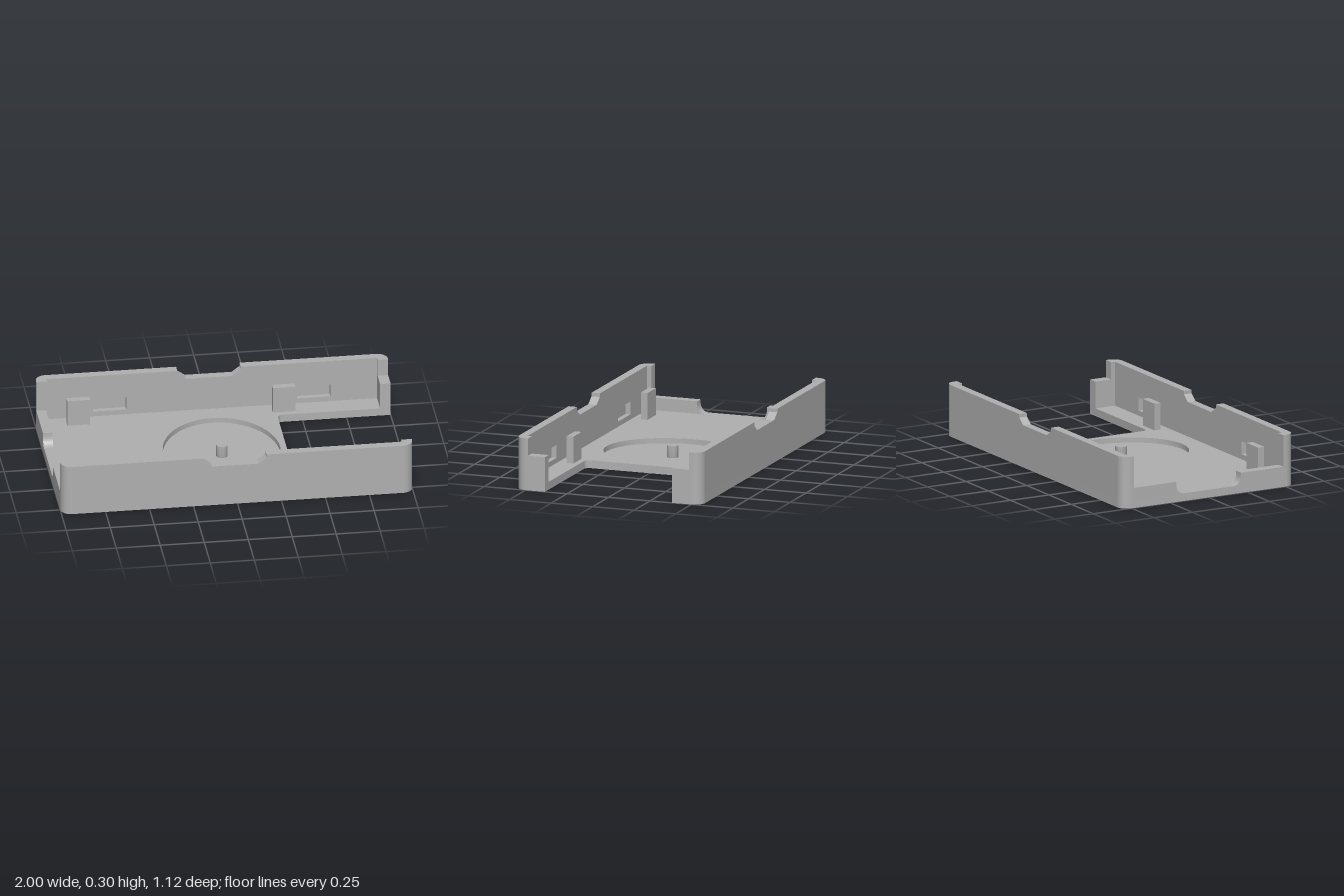
import * as THREE from 'three';
import { toCreasedNormals } from 'three/addons/utils/BufferGeometryUtils.js';

const FLOOR = 0.045, TOP = 0.3, HALF_Z = 0.56, R = 0.06;

export function createModel() {
  const model = new THREE.Group();
  model.name = 'tray';
  const grey = new THREE.MeshStandardMaterial({ color: 0xb0b0b0 });
  grey.name = 'grey plastic';

  const add = (name, geometry) => {
    const mesh = new THREE.Mesh(toCreasedNormals(geometry, 0.6), grey);
    mesh.name = name;
    model.add(mesh);
    return mesh;
  };
  const extrude = (shape, depth) =>
    new THREE.ExtrudeGeometry(shape, { depth, bevelEnabled: false, curveSegments: 24 });
  // plan shape (x, -z) raised from y0 to y1
  const raise = (name, shape, y0, y1) =>
    add(name, extrude(shape, y1 - y0).rotateX(-Math.PI / 2).translate(0, y0, 0));
  const box = (name, x0, x1, y0, y1, z0, z1) =>
    add(name, new THREE.BoxGeometry(x1 - x0, y1 - y0, z1 - z0)
      .translate((x0 + x1) / 2, (y0 + y1) / 2, (z0 + z1) / 2));
  const polygon = (pts) => new THREE.Shape(pts.map(([x, y]) => new THREE.Vector2(x, y)));

  // floor outline: rounded rectangle with a bay cut into the +x end
  const outline = (holeX, holeRx, holeRz) => {
    const s = new THREE.Shape();
    const H = HALF_Z, bx = 0.355, bz = 0.383, r = 0.03, q = Math.PI / 2;
    s.moveTo(-1 + R, -H);
    s.lineTo(1 - R, -H);
    s.absarc(1 - R, -H + R, R, -q, 0, false);
    s.lineTo(1, -bz);
    s.lineTo(bx + r, -bz);
    s.absarc(bx + r, -bz + r, r, -q, -2 * q, true);
    s.lineTo(bx, bz - r);
    s.absarc(bx + r, bz - r, r, 2 * q, q, true);
    s.lineTo(1, bz);
    s.lineTo(1, H - R);
    s.absarc(1 - R, H - R, R, 0, q, false);
    s.lineTo(-1 + R, H);
    s.absarc(-1 + R, H - R, R, q, 2 * q, false);
    s.lineTo(-1, -H + R);
    s.absarc(-1 + R, -H + R, R, 2 * q, 3 * q, false);
    const hole = new THREE.Path();
    hole.absellipse(holeX, 0, holeRx, holeRz, 0, Math.PI * 2, true);
    s.holes.push(hole);
    return s;
  };
  raise('basePlate', outline(-0.012, 0.028, 0.028), 0, 0.015);
  raise('floorWithOvalRecess', outline(-0.012, 0.332, 0.398), 0.015, FLOOR);

  // centre peg, bored from below
  const pegProfile = [[0, 0.03], [0.028, 0.03], [0.028, 0], [0.033, 0.015], [0.033, 0.085], [0, 0.085]]
    .map(([x, y]) => new THREE.Vector2(x, y));
  add('centrePeg', new THREE.LatheGeometry(pegProfile, 32)).position.x = -0.012;

  // long wall elevation with the finger notch in its top edge
  const wallShape = () => polygon([
    [-1 + R, FLOOR], [1 - R, FLOOR], [1 - R, TOP], [0.165, TOP], [0.165, 0.28], [0.12, 0.245],
    [-0.145, 0.245], [-0.195, 0.28], [-0.195, TOP], [-1 + R, TOP]]);
  const innerShape = wallShape();
  for (const x of [-0.58, 0.58]) {
    const w = 0.095, y0 = 0.075, y1 = 0.15;
    innerShape.holes.push(new THREE.Path([[x - w, y0], [x - w, y1], [x + w, y1], [x + w, y0]]
      .map(([a, b]) => new THREE.Vector2(a, b))));
  }

  for (const side of [-1, 1]) {
    const label = side > 0 ? 'front' : 'back';

    // long wall: pocketed inner skin and plain outer skin
    const skin = (name, shape, z0, z1) =>
      add(name, extrude(shape, z1 - z0).translate(0, 0, side > 0 ? z0 : -z1));
    skin(label + 'WallInner', innerShape, 0.51, 0.54);
    skin(label + 'WallOuter', wallShape(), 0.54, HALF_Z);

    // rounded corner columns
    for (const end of [-1, 1]) {
      const c = new THREE.Shape();
      const cx = end * (1 - R), cz = side * (HALF_Z - R);
      c.moveTo(cx, side * 0.485);
      c.lineTo(end, side * 0.485);
      c.lineTo(end, cz);
      c.absarc(cx, cz, R, end > 0 ? 0 : Math.PI, side * Math.PI / 2, end * side < 0);
      raise(label + 'CornerColumn', c, FLOOR, TOP);
    }

    // low end wall at -x with a concave fillet running down to the floor
    const e = new THREE.Shape();
    e.moveTo(side * 0.485, FLOOR);
    e.lineTo(side * 0.485, 0.117);
    e.lineTo(side * 0.21, 0.117);
    e.lineTo(side * 0.21, 0.095);
    e.quadraticCurveTo(side * 0.205, 0.05, side * 0.165, FLOOR);
    add(label + 'LowEndWall', extrude(e, 0.055).rotateY(Math.PI / 2).translate(-1, 0, 0));

    // end wall stub beside the bay
    const z = [side * 0.383, side * 0.485].sort((a, b) => a - b);
    box(label + 'EndStub', 1 - R, 1, FLOOR, 0.2, z[0], z[1]);

    // upright support tabs
    for (const x of [-0.768, 0.4]) {
      box(label + 'SupportTab', x - 0.065, x + 0.065, FLOOR, 0.2, side * 0.437 - 0.02, side * 0.437 + 0.02);
    }
  }
  return model;
}
